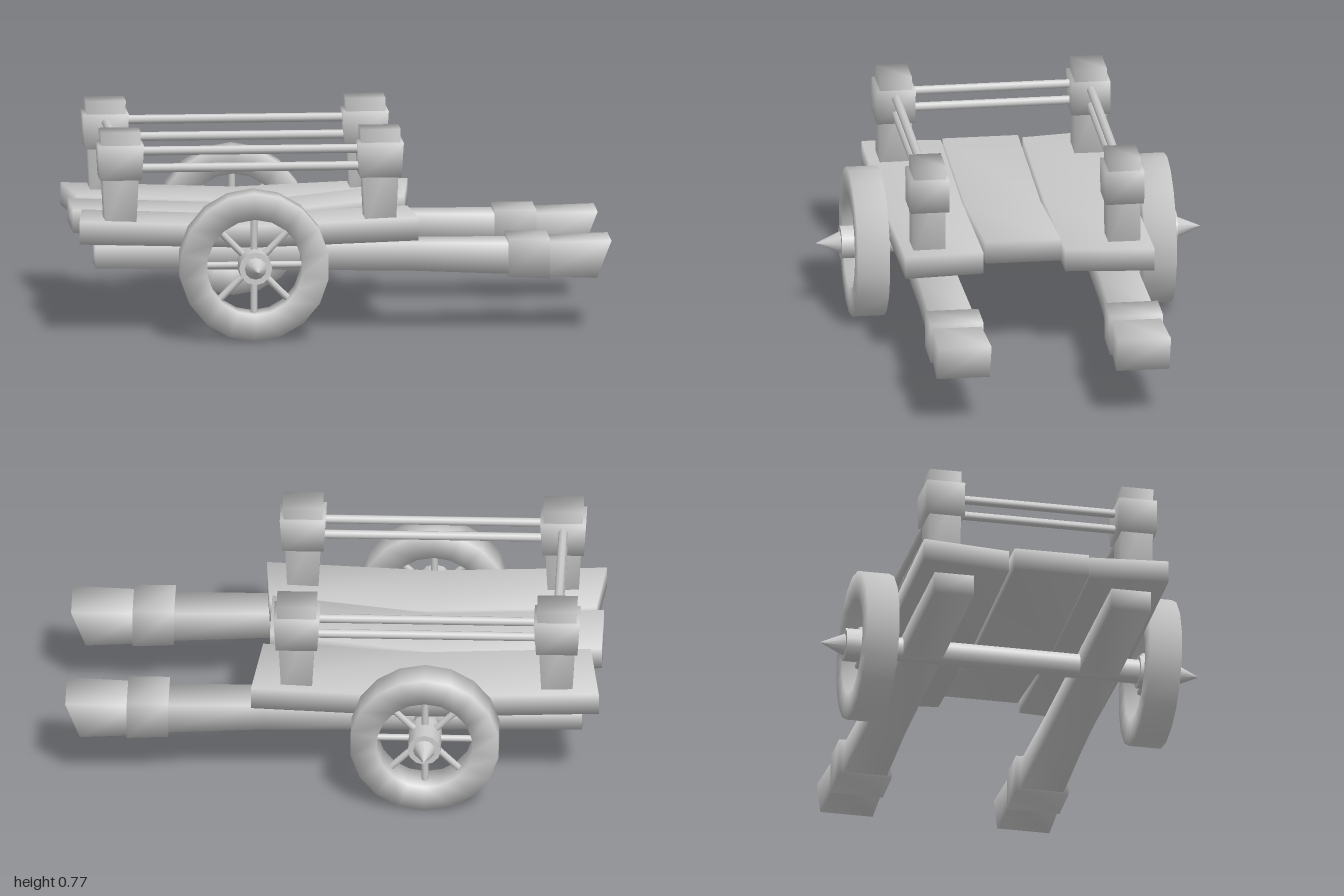
import * as THREE from 'three';
import { mergeVertices } from 'three/addons/utils/BufferGeometryUtils.js';

const material = new THREE.MeshStandardMaterial({ color: 0xcccccc });

// Weld corners so the chunky shapes get soft, smooth shading
function soften(geometry) {
  geometry.deleteAttribute('normal');
  geometry.deleteAttribute('uv');
  const welded = mergeVertices(geometry, 1e-4);
  welded.computeVertexNormals();
  return welded;
}

function add(parent, name, geometry, x = 0, y = 0, z = 0) {
  const mesh = new THREE.Mesh(geometry, material);
  mesh.name = name;
  mesh.position.set(x, y, z);
  parent.add(mesh);
  return mesh;
}

// Beam along x; each section is [xAtMinZ, xAtMaxZ, yBottom, yTop, zMin, zMax, topShift]
function beam(sections) {
  const n = sections.length - 1;
  const geometry = new THREE.BoxGeometry(1, 1, 1, n, 1, 1);
  const p = geometry.attributes.position;
  for (let i = 0; i < p.count; i++) {
    const [xa, xb, y0, y1, z0, z1, shift = 0] = sections[Math.round((p.getX(i) + 0.5) * n)];
    const top = p.getY(i) > 0, far = p.getZ(i) > 0;
    p.setXYZ(i, (far ? xb : xa) + (top ? shift : 0), top ? y1 : y0, far ? z1 : z0);
  }
  return soften(geometry);
}

// Upright block whose width and depth change from bottom to top
function taperedBlock(y0, y1, w0, d0, w1, d1) {
  const geometry = new THREE.BoxGeometry(1, 1, 1);
  const p = geometry.attributes.position;
  for (let i = 0; i < p.count; i++) {
    const top = p.getY(i) > 0;
    p.setXYZ(i, p.getX(i) * (top ? w1 : w0), top ? y1 : y0, p.getZ(i) * (top ? d1 : d0));
  }
  return soften(geometry);
}

// Round bar between two points
function bar(parent, name, a, b, radius, sides = 8) {
  const from = new THREE.Vector3(...a), to = new THREE.Vector3(...b);
  const dir = to.clone().sub(from);
  const mesh = add(parent, name, new THREE.CylinderGeometry(radius, radius, dir.length(), sides));
  mesh.position.copy(from).add(to).multiplyScalar(0.5);
  mesh.quaternion.setFromUnitVectors(new THREE.Vector3(0, 1, 0), dir.normalize());
  return mesh;
}

// Wheel facing +z: square rim, eight spokes, hub and pointed hub cap
function makeWheel() {
  const wheel = new THREE.Group();
  wheel.name = 'wheel';
  const profile = [[0.18, -0.06], [0.28, -0.06], [0.28, 0.06], [0.18, 0.06], [0.18, -0.06]]
    .map(([r, y]) => new THREE.Vector2(r, y));
  add(wheel, 'rim', soften(new THREE.LatheGeometry(profile, 18))).rotation.x = Math.PI / 2;
  for (let i = 0; i < 8; i++) {
    const a = i * Math.PI / 4, c = Math.cos(a), s = Math.sin(a);
    bar(wheel, 'spoke', [c * 0.03, s * 0.03, 0], [c * 0.2, s * 0.2, 0], 0.013);
  }
  bar(wheel, 'hub', [0, 0, -0.05], [0, 0, 0.093], 0.062, 12);
  add(wheel, 'hubPoint', new THREE.ConeGeometry(0.042, 0.094, 12), 0, 0, 0.138).rotation.x = Math.PI / 2;
  return wheel;
}

export function createModel() {
  const cart = new THREE.Group();
  cart.name = 'cart';

  // Slightly sagging floor planks
  add(cart, 'rightPlank', beam([
    [-1, -0.96, 0.355, 0.44, -0.467, -0.135],
    [-0.35, -0.35, 0.33, 0.415, -0.467, -0.135],
    [0.3, 0.265, 0.355, 0.44, -0.467, -0.135]]));
  add(cart, 'leftPlank', beam([
    [-0.97, -1, 0.355, 0.44, 0.172, 0.467],
    [-0.35, -0.35, 0.335, 0.415, 0.172, 0.467],
    [0.25, 0.27, 0.355, 0.44, 0.172, 0.467]]));
  add(cart, 'middlePlank', beam([
    [-1, -1, 0.35, 0.435, -0.122, 0.162],
    [-0.35, -0.35, 0.325, 0.41, -0.122, 0.162],
    [0.24, 0.24, 0.39, 0.475, -0.122, 0.162]]));

  // Axle and wheels
  const axleX = -0.353, axleY = 0.282;
  bar(cart, 'axle', [axleX, axleY, -0.54], [axleX, axleY, 0.54], 0.046, 10);
  for (const side of [1, -1]) {
    const wheel = makeWheel();
    wheel.position.set(axleX, axleY, side * 0.54);
    if (side < 0) wheel.rotation.y = Math.PI;
    cart.add(wheel);
  }

  for (const side of [1, -1]) {
    // Pulling shaft with collar and slanted handle
    const z = side * 0.338;
    const shaft = new THREE.Group();
    shaft.name = 'shaft';
    shaft.position.z = z;
    cart.add(shaft);
    add(shaft, 'pole', beam([
      [-0.936, -0.936, 0.255, 0.337, -0.075, 0.075],
      [0.25, 0.25, 0.232, 0.337, -0.075, 0.075],
      [0.65, 0.65, 0.215, 0.332, -0.083, 0.083]]));
    add(shaft, 'collar', beam([
      [0.61, 0.61, 0.208, 0.35, -0.1, 0.1],
      [0.765, 0.765, 0.2, 0.35, -0.1, 0.1]]));
    add(shaft, 'handle', beam([
      [0.72, 0.72, 0.207, 0.335, -0.09, 0.09],
      [0.94, 0.94, 0.2, 0.34, -0.1, 0.1, 0.055]]));

    // Corner posts with thick collars
    for (const x of [-0.842, 0.131]) {
      const post = new THREE.Group();
      post.name = 'cornerPost';
      post.position.set(x, 0, side * 0.367);
      cart.add(post);
      add(post, 'post', taperedBlock(0.41, 0.77, 0.115, 0.12, 0.15, 0.12));
      add(post, 'postCollar', taperedBlock(0.59, 0.72, 0.155, 0.145, 0.172, 0.145));
    }
  }

  // Paired rails on both sides and across the back
  for (const y of [0.69, 0.625]) {
    for (const z of [-0.367, 0.367]) bar(cart, 'sideRail', [-0.84, y, z], [0.13, y, z], 0.017);
    bar(cart, 'endRail', [-0.842, y, -0.367], [-0.842, y, 0.367], 0.017);
  }
  return cart;
}
